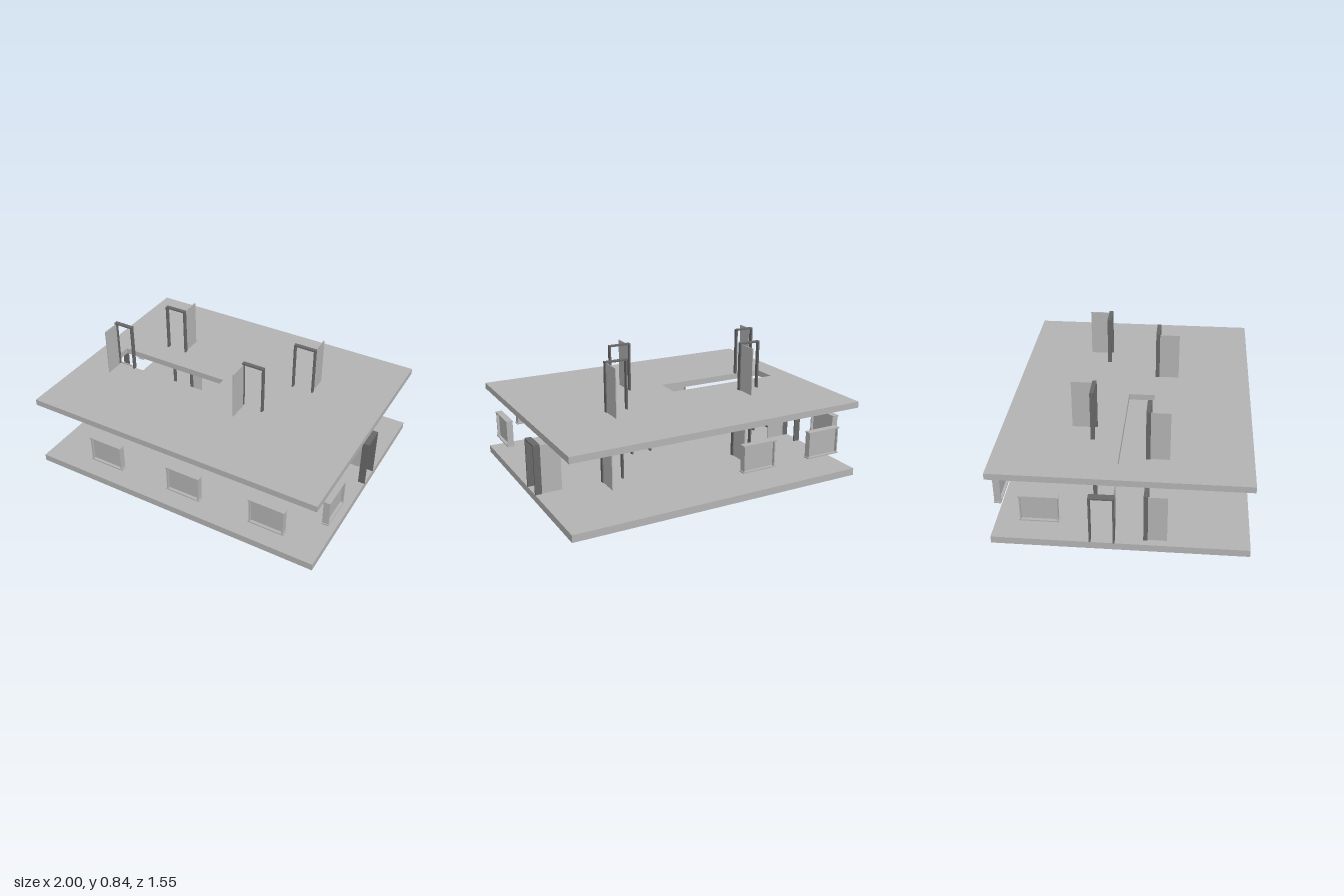
import * as THREE from 'three';

const wallGrey = new THREE.MeshStandardMaterial({ color: 0xb3b3b3 });
wallGrey.name = 'light grey';
const frameGrey = new THREE.MeshStandardMaterial({ color: 0x686868 });
frameGrey.name = 'dark grey';

// box given by its lower and upper limits on each axis
function box(name, material, [x0, x1], [y0, y1], [z0, z1]) {
  const mesh = new THREE.Mesh(new THREE.BoxGeometry(x1 - x0, y1 - y0, z1 - z0), material);
  mesh.position.set((x0 + x1) / 2, (y0 + y1) / 2, (z0 + z1) / 2);
  mesh.name = name;
  return mesh;
}

// open door: frame centred on the origin, leaf hinged at -x and swung to +z
function door(width, depth) {
  const g = new THREE.Group();
  const w = width / 2, d = depth / 2, h = 0.325, t = 0.01;
  g.name = 'door';
  for (const s of [-1, 1]) {
    const x = s * (w - t / 2);
    g.add(box('doorJamb', frameGrey, [x - t / 2, x + t / 2], [0, h], [-d, d]));
  }
  g.add(box('doorLintel', frameGrey, [-w + t, w - t], [h - t, h], [-d, d]));
  g.add(box('doorLeaf', wallGrey, [-w + t - 0.003, -w + t + 0.003], [0, h - 0.008], [d, d + width - 0.02]));
  return g;
}

// window: casing with a wider head and sill and a pane in the middle, outside facing +z
function windowUnit() {
  const g = new THREE.Group();
  const w = 0.113, d = 0.021, y0 = 0.185, y1 = 0.363, t = 0.008;
  g.name = 'window';
  for (const s of [-1, 1]) {
    const x = s * (w - t / 2);
    g.add(box('windowJamb', wallGrey, [x - t / 2, x + t / 2], [y0 + t, y1 - t], [-d, d]));
  }
  g.add(box('windowSill', wallGrey, [-w - 0.006, w + 0.006], [y0, y0 + t], [-d, d + 0.002]));
  g.add(box('windowHead', wallGrey, [-w - 0.006, w + 0.006], [y1 - t, y1], [-d, d + 0.002]));
  g.add(box('windowPane', wallGrey, [-w + t, w - t], [y0 + t, y1 - t], [-0.004, 0.004]));
  return g;
}

// ceiling lamp with chamfered lower edges, lying along x
function ceilingLamp() {
  const profile = new THREE.Shape([
    [-0.021, 0.472], [-0.021, 0.461], [-0.015, 0.456],
    [0.015, 0.456], [0.021, 0.461], [0.021, 0.472],
  ].map(([x, y]) => new THREE.Vector2(x, y)));
  const geometry = new THREE.ExtrudeGeometry(profile, { depth: 0.178, bevelEnabled: false });
  geometry.translate(0, 0, -0.089).rotateY(Math.PI / 2);
  const mesh = new THREE.Mesh(geometry, wallGrey);
  mesh.name = 'ceilingLamp';
  return mesh;
}

function rectangle(path, x0, x1, y0, y1) {
  path.moveTo(x0, y0);
  path.lineTo(x1, y0);
  path.lineTo(x1, y1);
  path.lineTo(x0, y1);
  path.closePath();
  return path;
}

export function createModel() {
  const model = new THREE.Group();
  model.name = 'twoStoreyFloorPlan';
  const place = (part, x, y, z, turn = 0) => {
    part.position.set(x, y, z);
    part.rotation.y = turn;
    model.add(part);
  };

  // ground slab
  model.add(box('groundSlab', wallGrey, [-1, 1], [0, 0.047], [-0.773, 0.773]));

  // upper slab with the stairwell opening
  const plan = rectangle(new THREE.Shape(), -1, 1, -0.773, 0.773);
  plan.holes.push(rectangle(new THREE.Path(), -0.845, -0.055, -0.15, 0.02));
  const slab = new THREE.ExtrudeGeometry(plan, { depth: 0.041, bevelEnabled: false });
  slab.rotateX(-Math.PI / 2);
  const upperSlab = new THREE.Mesh(slab, wallGrey);
  upperSlab.position.y = 0.471;
  upperSlab.name = 'upperSlab';
  model.add(upperSlab);

  // inner doors: centre x, width, floor height, and row (1 front, -1 back)
  const ground = 0.047, upper = 0.512;
  for (const [x, width, y, row] of [
    [-0.892, 0.135, ground, 1], [0.11, 0.15, ground, 1],
    [-0.49, 0.15, ground, -1], [0.486, 0.15, ground, -1],
    [-0.717, 0.135, upper, 1], [0.261, 0.15, upper, 1],
    [-0.53, 0.15, upper, -1], [0.45, 0.15, upper, -1],
  ]) place(door(width, 0.026), x, y, row > 0 ? 0.153 : -0.194, row > 0 ? 0 : Math.PI);

  // entrance doors on the two ends
  for (const s of [-1, 1]) place(door(0.153, 0.044), s * 0.978, ground, -0.105, -s * Math.PI / 2);

  // windows on the four sides
  for (const x of [-0.465, 0.11, 0.685]) place(windowUnit(), x, 0, 0.75);
  for (const x of [-0.735, -0.245]) place(windowUnit(), x, 0, -0.75, Math.PI);
  place(windowUnit(), 0.977, 0, 0.452, Math.PI / 2);
  place(windowUnit(), -0.977, 0, -0.47, -Math.PI / 2);

  // ceiling lamps
  for (const x of [-0.652, -0.003, 0.65])
    for (const z of [0.378, -0.373]) place(ceilingLamp(), x, 0, z);

  return model;
}
